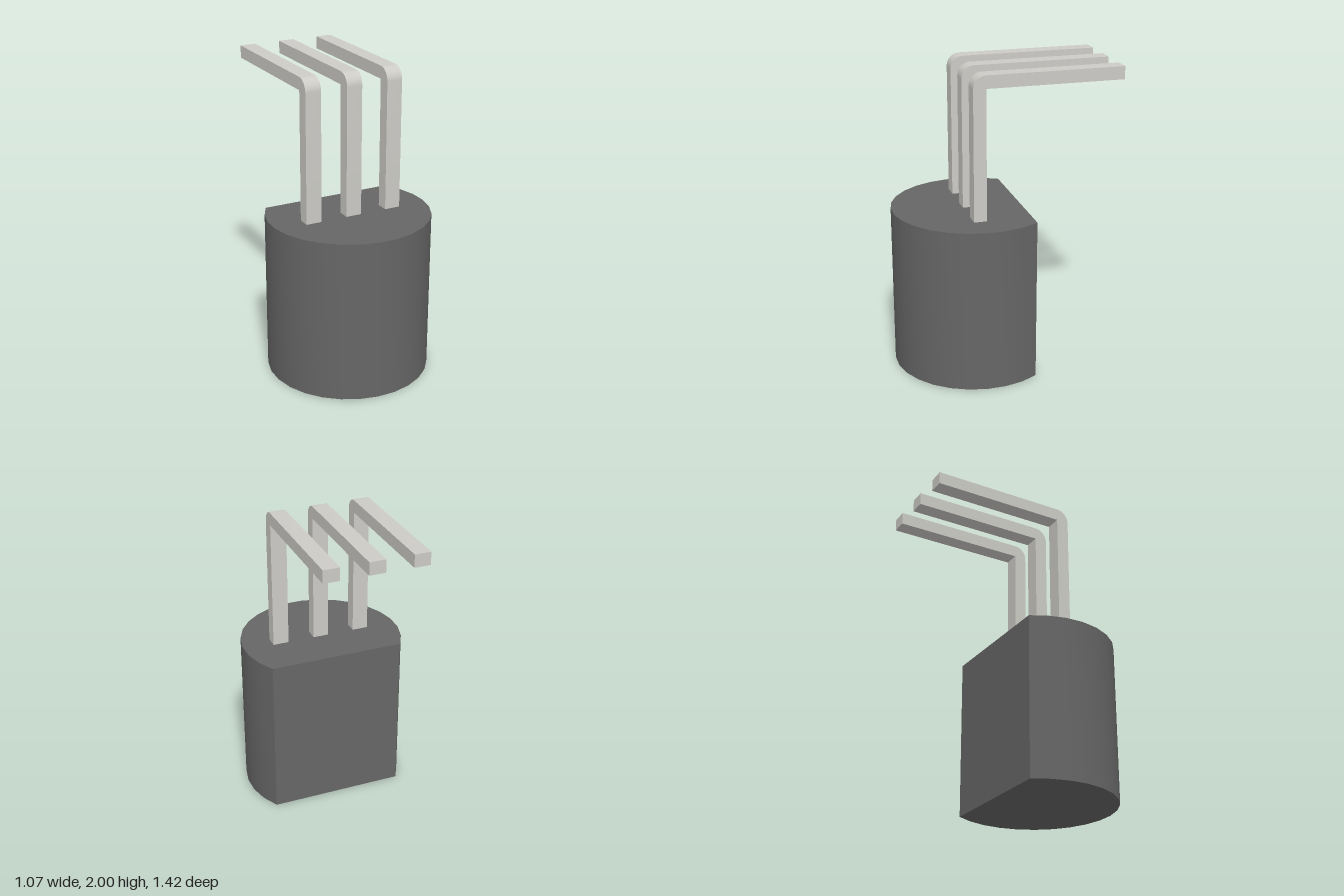
import * as THREE from 'three';
import { toCreasedNormals } from 'three/addons/utils/BufferGeometryUtils.js';

const BODY_HEIGHT = 1.07, RADIUS = 0.535, CENTER_Z = 0.18, FLAT_Z = -0.119, ARC_SEGMENTS = 19;
const PIN_WIDTH = 0.105, PIN_THICKNESS = 0.083, PIN_SPACING = 0.282;
const PIN_FRONT = 0.26, PIN_END = -0.712, TOP = 2;

function extrude(shape, depth, curveSegments = 6) {
  return new THREE.ExtrudeGeometry(shape, { depth, bevelEnabled: false, curveSegments });
}

// D-shaped case: a faceted arc closed by the flat back
function bodyGeometry() {
  const corner = Math.asin((CENTER_Z - FLAT_Z) / RADIUS);
  const points = [];
  for (let i = 0; i <= ARC_SEGMENTS; i++) {
    const a = Math.PI - corner + (Math.PI + 2 * corner) * i / ARC_SEGMENTS;
    points.push(new THREE.Vector2(RADIUS * Math.cos(a), RADIUS * Math.sin(a) - CENTER_Z));
  }
  const geometry = extrude(new THREE.Shape(points), BODY_HEIGHT).rotateX(-Math.PI / 2);
  return toCreasedNormals(geometry, Math.PI / 6);
}

// Bent lead: side profile with a rounded outer and a sharp inner corner
function pinGeometry() {
  const t = PIN_THICKNESS, inner = PIN_FRONT - t;
  const shape = new THREE.Shape();
  shape.moveTo(inner, BODY_HEIGHT);
  shape.lineTo(PIN_FRONT, BODY_HEIGHT);
  shape.lineTo(PIN_FRONT, TOP - t);
  shape.absarc(inner, TOP - t, t, 0, Math.PI / 2, false);
  shape.lineTo(PIN_END, TOP);
  shape.lineTo(PIN_END, TOP - t);
  shape.lineTo(inner, TOP - t);
  shape.closePath();
  const geometry = extrude(shape, PIN_WIDTH).rotateY(-Math.PI / 2).translate(PIN_WIDTH / 2, 0, 0);
  return toCreasedNormals(geometry, Math.PI / 6);
}

export function createModel() {
  const model = new THREE.Group();
  model.name = 'transistor';

  const body = new THREE.Mesh(bodyGeometry(), new THREE.MeshStandardMaterial({ color: 0x666666 }));
  body.name = 'body';
  model.add(body);

  // Three identical leads side by side
  const metal = new THREE.MeshStandardMaterial({ color: 0xcccbc6 });
  const geometry = pinGeometry();
  ['rightPin', 'middlePin', 'leftPin'].forEach((name, i) => {
    const pin = new THREE.Mesh(geometry, metal);
    pin.name = name;
    pin.position.x = (i - 1) * PIN_SPACING;
    model.add(pin);
  });
  return model;
}
